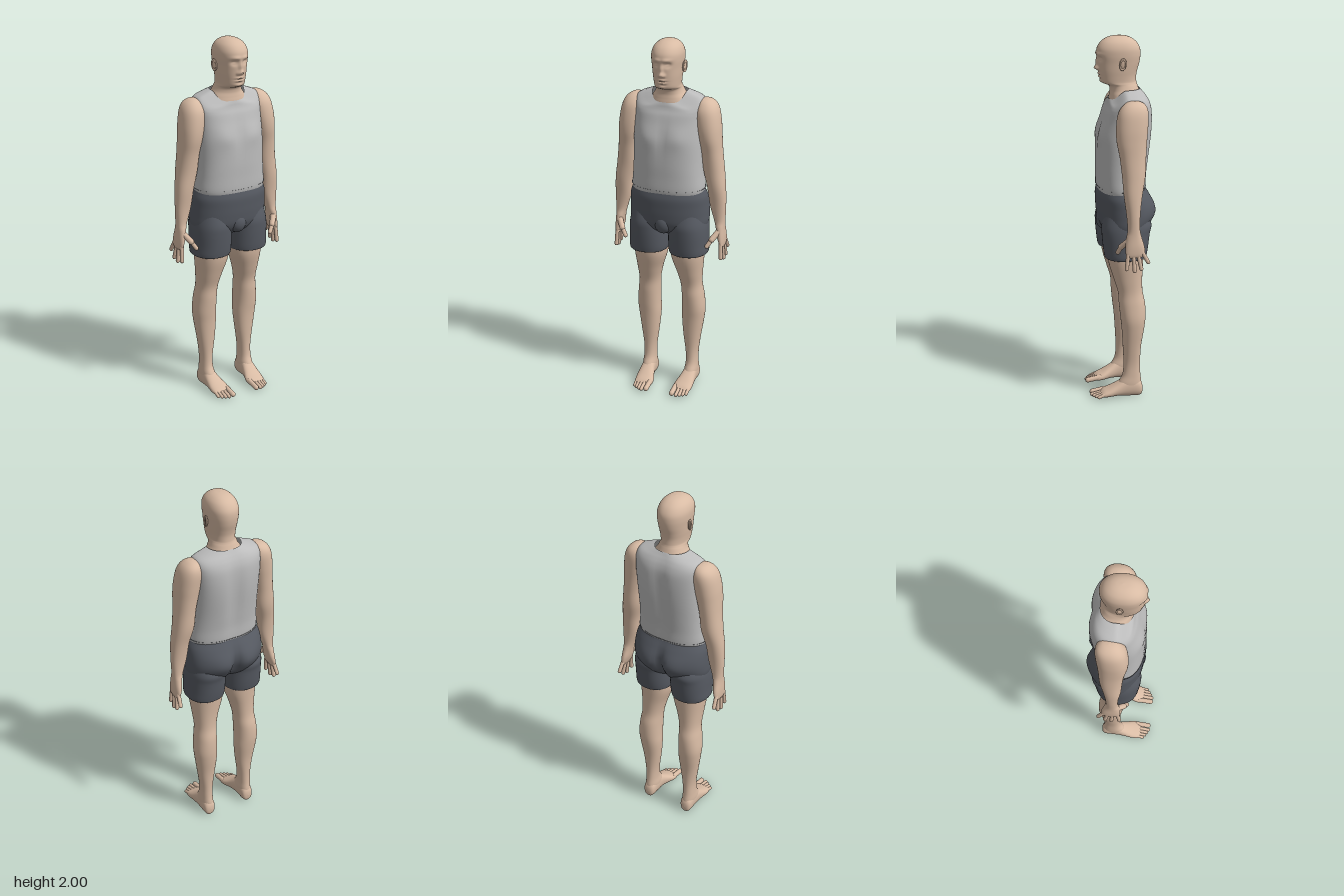
import * as THREE from 'three';

const skin = new THREE.MeshStandardMaterial({ color: 0xd8bba4, side: THREE.DoubleSide });
skin.name = 'skin';
const shirtGrey = new THREE.MeshStandardMaterial({ color: 0xbcbcbc, side: THREE.DoubleSide });
shirtGrey.name = 'light grey cloth';
const shortsGrey = new THREE.MeshStandardMaterial({ color: 0x565a62, side: THREE.DoubleSide });
shortsGrey.name = 'dark grey cloth';

const smooth = THREE.MathUtils.smoothstep;
const bump = (x, y, x0, y0, sx, sy) => Math.exp(-(((x - x0) / sx) ** 2) - ((y - y0) / sy) ** 2);

// Smooth surface through superellipse sections [y, xMin, xMax, zBack, zFront, exponent]
function loft(rows, { seg = 40, sub = 5, deform = null, caps = true } = {}) {
  const list = rows.map(r => [...r.slice(0, 5), r[5] ?? 2.2]);
  if (list[0][0] > list[list.length - 1][0]) list.reverse();
  const at = i => list[Math.min(Math.max(i, 0), list.length - 1)];
  const sections = [];
  for (let i = 0; i < list.length - 1; i++) {
    for (let s = 0; s < sub; s++) {
      const t = s / sub;
      sections.push(list[i].map((b, k) => {
        const a = at(i - 1)[k], c = at(i + 1)[k], d = at(i + 2)[k];
        return b + 0.5 * t * (c - a + t * (2 * a - 5 * b + 4 * c - d + t * (3 * (b - c) + d - a)));
      }));
    }
  }
  sections.push(at(list.length));
  const pos = [], index = [], v = new THREE.Vector3();
  const add = () => { if (deform) deform(v); pos.push(v.x, v.y, v.z); };
  const pw = (c, n) => Math.sign(c) * Math.abs(c) ** (2 / n);
  for (const [y, x0, x1, z0, z1, n] of sections) {
    for (let i = 0; i < seg; i++) {
      const a = (i / seg) * Math.PI * 2;
      v.set((x0 + x1) / 2 + pw(Math.cos(a), n) * (x1 - x0) / 2, y,
        (z0 + z1) / 2 + pw(Math.sin(a), n) * (z1 - z0) / 2);
      add();
    }
  }
  const last = sections.length - 1;
  for (let j = 0; j < last; j++) {
    for (let i = 0; i < seg; i++) {
      const a = j * seg + i, b = j * seg + (i + 1) % seg;
      index.push(a, a + seg, b, b, a + seg, b + seg);
    }
  }
  if (caps) {
    for (const j of [0, last]) {
      const [y, x0, x1, z0, z1] = sections[j], c = pos.length / 3;
      v.set((x0 + x1) / 2, y, (z0 + z1) / 2);
      add();
      for (let i = 0; i < seg; i++) {
        const a = j * seg + i, b = j * seg + (i + 1) % seg;
        if (j === 0) index.push(c, a, b); else index.push(c, b, a);
      }
    }
  }
  const g = new THREE.BufferGeometry();
  g.setAttribute('position', new THREE.Float32BufferAttribute(pos, 3));
  g.setIndex(index);
  g.computeVertexNormals();
  return g;
}

// Symmetric section about x = 0
const even = rows => rows.map(([y, r, zb, zf, n]) => [y, -r, r, zb, zf, n]);

function capsule(a, b, r) {
  const p = new THREE.Vector3(...a), q = new THREE.Vector3(...b), d = q.clone().sub(p);
  const g = new THREE.CapsuleGeometry(r, d.length(), 6, 12);
  g.applyQuaternion(new THREE.Quaternion().setFromUnitVectors(new THREE.Vector3(0, 1, 0), d.normalize()));
  return g.translate(...p.add(q).multiplyScalar(0.5).toArray());
}

function mirrored(geometry) {
  const g = geometry.clone().scale(-1, 1, 1), ix = g.index.array;
  for (let i = 0; i < ix.length; i += 3) [ix[i], ix[i + 1]] = [ix[i + 1], ix[i]];
  return g;
}

export function createModel() {
  const model = new THREE.Group();
  model.name = 'standing man';
  const put = (name, g, mat) => {
    const m = new THREE.Mesh(g, mat);
    m.name = name;
    model.add(m);
  };
  const pair = (name, g, mat) => {
    put(name + 'Left', g, mat);
    put(name + 'Right', mirrored(g), mat);
  };

  // Head and neck, with the face raised and sunk by soft bumps
  const face = v => {
    const f = smooth(v.z, 0.03, 0.08), x = Math.abs(v.x), y = v.y;
    v.z += f * (
      0.007 * bump(x, y, 0.026, 1.908, 0.026, 0.01)
      - 0.015 * bump(x, y, 0.031, 1.884, 0.017, 0.013)
      + 0.006 * bump(x, y, 0.031, 1.881, 0.011, 0.006)
      + 0.012 * bump(x, y, 0, 1.86, 0.009, 0.025)
      + 0.020 * bump(x, y, 0, 1.832, 0.012, 0.012)
      + 0.009 * bump(x, y, 0.014, 1.827, 0.007, 0.008)
      + 0.008 * bump(x, y, 0, 1.802, 0.02, 0.006)
      - 0.005 * bump(x, y, 0, 1.794, 0.024, 0.003)
      + 0.008 * bump(x, y, 0, 1.786, 0.018, 0.006)
      - 0.004 * bump(x, y, 0, 1.775, 0.02, 0.005)
      + 0.004 * bump(x, y, 0, 1.76, 0.018, 0.009));
  };
  put('head', loft(even([
    [1.6, 0.12, -0.13, 0.06], [1.66, 0.11, -0.125, 0.058], [1.69, 0.096, -0.112, 0.054],
    [1.715, 0.079, -0.102, 0.052], [1.738, 0.07, -0.094, 0.06], [1.75, 0.068, -0.09, 0.088],
    [1.762, 0.067, -0.088, 0.103], [1.79, 0.07, -0.088, 0.109], [1.82, 0.074, -0.094, 0.113],
    [1.86, 0.078, -0.105, 0.117], [1.9, 0.082, -0.11, 0.122], [1.935, 0.081, -0.106, 0.12],
    [1.965, 0.07, -0.088, 0.102], [1.985, 0.051, -0.062, 0.075], [1.996, 0.028, -0.032, 0.044],
    [2.0, 0, 0.004, 0.004],
  ]), { seg: 96, sub: 8, deform: face }), skin);

  // Ears: a flat lobe with a raised rim
  const place = g => g.rotateX(-0.15).rotateY(-0.3).translate(0.085, 1.859, -0.003);
  pair('ear', place(new THREE.SphereGeometry(1, 16, 12).scale(0.007, 0.03, 0.017)), skin);
  pair('earRim', place(new THREE.TorusGeometry(0.015, 0.004, 8, 24).rotateY(Math.PI / 2)
    .scale(1, 1.75, 1).translate(0.004, 0, 0)), skin);

  // Sleeveless shirt, with the neckline dropping at the front
  const torso = v => {
    const x = Math.abs(v.x), y = v.y;
    if (v.z > 0) {
      v.z += 0.008 * bump(x, y, 0.085, 1.49, 0.055, 0.05) - 0.005 * bump(x, y, 0, 1.49, 0.02, 0.1);
    } else {
      v.z += 0.015 * bump(x, y, 0, 1.48, 0.04, 0.22);
    }
    v.y -= 0.052 * smooth(y, 1.57, 1.72) * smooth(v.z, -0.02, 0.055);
  };
  put('shirt', loft(even([
    [1.16, 0.19, -0.12, 0.115, 2.3], [1.195, 0.201, -0.132, 0.126, 2.3], [1.27, 0.195, -0.136, 0.127, 2.4],
    [1.35, 0.192, -0.146, 0.128, 2.4], [1.45, 0.191, -0.158, 0.124, 2.5], [1.52, 0.19, -0.163, 0.11, 2.6],
    [1.58, 0.19, -0.163, 0.093, 2.7], [1.63, 0.19, -0.158, 0.082, 2.8], [1.665, 0.188, -0.147, 0.074, 2.8],
    [1.69, 0.175, -0.133, 0.069, 2.6], [1.708, 0.135, -0.12, 0.066, 2.3], [1.722, 0.094, -0.11, 0.062, 2.1],
  ]), { seg: 72, deform: torso, caps: false }), shirtGrey);

  // Shorts: hips with a rear cleft, two legs and a front pouch
  const hips = v => {
    if (v.z < 0) {
      v.z += 0.035 * bump(v.x, v.y, 0, 1.03, 0.025, 0.1)
        - 0.012 * bump(Math.abs(v.x), v.y, 0.085, 1.06, 0.06, 0.07);
    }
  };
  put('shortsHips', loft(even([
    [1.192, 0.198, -0.13, 0.122], [1.2, 0.206, -0.136, 0.13], [1.15, 0.213, -0.153, 0.13],
    [1.1, 0.218, -0.174, 0.129], [1.05, 0.22, -0.177, 0.126], [1.0, 0.218, -0.156, 0.118],
    [0.96, 0.2, -0.125, 0.095], [0.93, 0.12, -0.08, 0.05], [0.92, 0, -0.01, -0.01],
  ].sort((a, b) => a[0] - b[0])), { seg: 72, deform: hips, caps: false }), shortsGrey);
  pair('shortsLeg', loft([
    [1.06, 0.02, 0.2, -0.13, 0.1], [1.0, 0.006, 0.215, -0.152, 0.116], [0.95, 0.003, 0.22, -0.143, 0.116],
    [0.88, 0.003, 0.221, -0.134, 0.11], [0.835, 0.005, 0.222, -0.126, 0.104],
    [0.82, 0.012, 0.215, -0.12, 0.098], [0.825, 0.03, 0.19, -0.1, 0.075],
  ], { caps: false }), shortsGrey);
  put('shortsFront', new THREE.SphereGeometry(1, 24, 16).scale(0.05, 0.06, 0.045)
    .translate(0, 1.005, 0.086), shortsGrey);

  // Arms, from the shoulder dome to the palm
  pair('arm', loft([
    [1.688, 0.195, 0.195, -0.045, -0.045], [1.682, 0.165, 0.222, -0.08, -0.008],
    [1.66, 0.15, 0.25, -0.105, 0.022], [1.62, 0.14, 0.269, -0.114, 0.045], [1.55, 0.15, 0.281, -0.11, 0.056],
    [1.48, 0.165, 0.286, -0.103, 0.055], [1.4, 0.18, 0.291, -0.097, 0.041], [1.3, 0.19, 0.302, -0.091, 0.03],
    [1.2, 0.214, 0.313, -0.072, 0.024], [1.1, 0.229, 0.316, -0.06, 0.012], [1.02, 0.253, 0.313, -0.058, 0.008],
    [0.98, 0.264, 0.313, -0.066, 0.016], [0.93, 0.273, 0.316, -0.08, 0.022],
    [0.89, 0.286, 0.315, -0.08, 0.02], [0.872, 0.295, 0.31, -0.065, 0.008],
  ]), skin);
  const fingers = [
    ['indexFinger', [0.3, 0.89, 0.008], [0.304, 0.812, 0.016]],
    ['middleFinger', [0.301, 0.885, -0.02], [0.307, 0.8, -0.026]],
    ['ringFinger', [0.301, 0.885, -0.046], [0.308, 0.81, -0.061]],
    ['littleFinger', [0.301, 0.9, -0.068], [0.306, 0.845, -0.098]],
  ];
  for (const [name, a, b] of fingers) pair(name, capsule(a, b, 0.011), skin);
  pair('thumbBase', capsule([0.285, 0.96, 0.005], [0.258, 0.922, 0.038], 0.016), skin);
  pair('thumbTip', capsule([0.258, 0.922, 0.038], [0.235, 0.885, 0.052], 0.012), skin);

  // Legs
  pair('leg', loft([
    [0.92, 0.012, 0.2, -0.12, 0.09], [0.8, 0.015, 0.196, -0.11, 0.082], [0.7, 0.045, 0.186, -0.103, 0.055],
    [0.62, 0.063, 0.181, -0.104, 0.031], [0.55, 0.067, 0.189, -0.117, 0.026], [0.47, 0.067, 0.196, -0.119, 0.018],
    [0.4, 0.066, 0.19, -0.112, 0.01], [0.3, 0.075, 0.175, -0.097, 0.004], [0.2, 0.089, 0.161, -0.092, 0],
    [0.13, 0.092, 0.16, -0.094, 0.006], [0.08, 0.088, 0.162, -0.1, 0.03], [0.03, 0.093, 0.158, -0.1, 0.03],
  ]), skin);

  // Feet, lofted from heel to ball, then the toes
  pair('foot', loft([
    [-0.107, 0.125, 0.125, -0.045, -0.045], [-0.102, 0.103, 0.148, -0.075, -0.012],
    [-0.085, 0.092, 0.159, -0.1, 0], [-0.04, 0.088, 0.162, -0.12, 0], [0, 0.085, 0.163, -0.107, -0.003],
    [0.04, 0.075, 0.166, -0.08, -0.005], [0.08, 0.063, 0.168, -0.056, -0.003],
    [0.112, 0.063, 0.164, -0.04, -0.003], [0.13, 0.075, 0.152, -0.026, -0.01],
  ]).rotateX(Math.PI / 2), skin);
  const toes = [[0.077, 0.17, 0.0145], [0.103, 0.175, 0.01], [0.121, 0.166, 0.0095],
    [0.138, 0.156, 0.009], [0.154, 0.143, 0.009]];
  toes.forEach(([x, z, r], i) =>
    pair('toe' + (i + 1), capsule([x, 0.028, 0.1], [x, r + 0.002, z], r), skin));

  return model;
}
